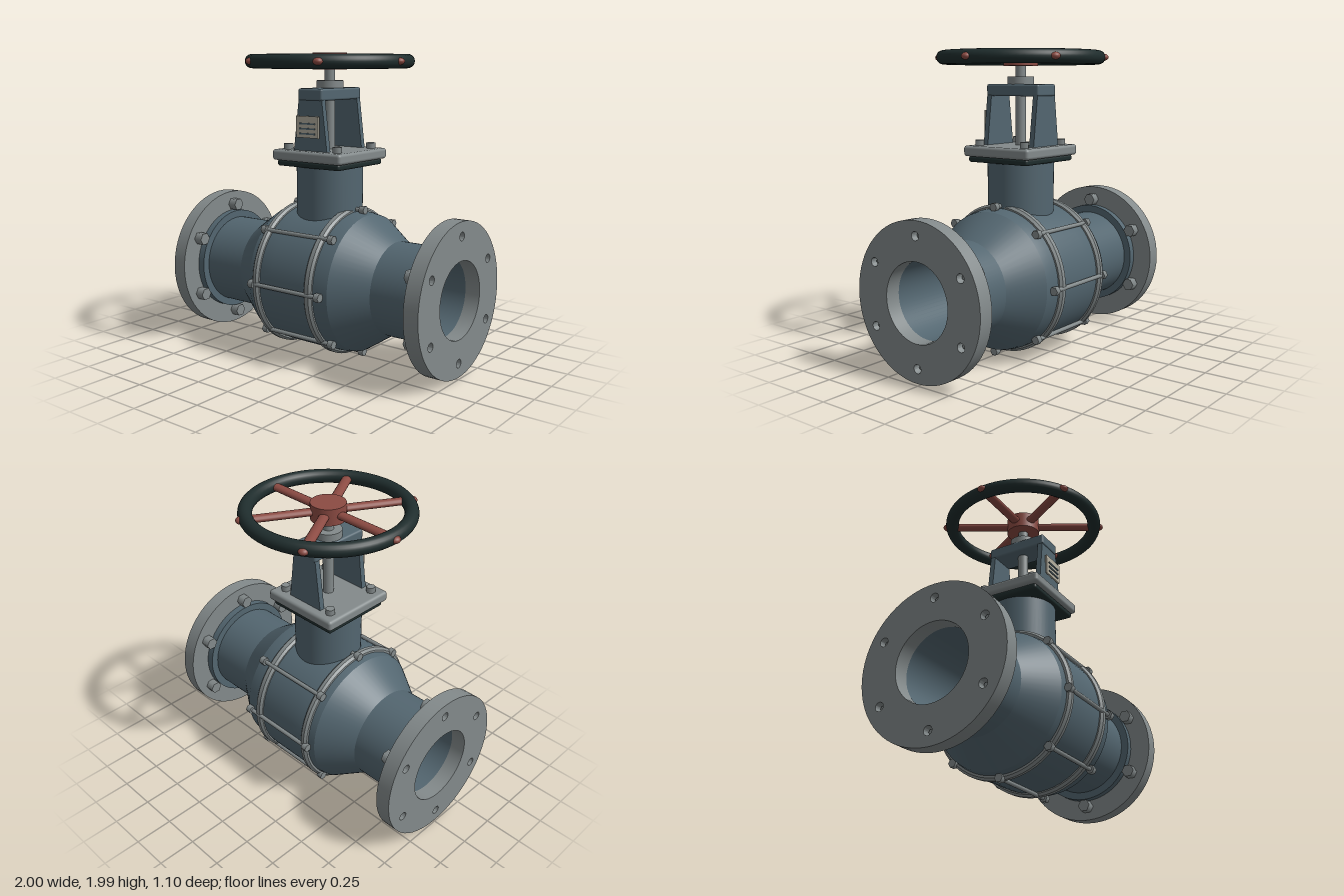
import * as THREE from 'three';
import { toCreasedNormals } from 'three/addons/utils/BufferGeometryUtils.js';
import { RoundedBoxGeometry } from 'three/addons/geometries/RoundedBoxGeometry.js';

const AXIS = 0.512; // height of the pipe axis

function mat(name, color) {
  const m = new THREE.MeshStandardMaterial({ color });
  m.name = name;
  return m;
}

export function createModel() {
  const body = mat('blue grey paint', 0x536670);
  const steel = mat('steel grey', 0x838a8b);
  const dark = mat('dark rubber', 0x1f2d2d);
  const red = mat('red paint', 0x8c4b43);
  const cream = mat('label cream', 0xb3ae9f);

  const valve = new THREE.Group();
  valve.name = 'gateValve';

  function add(name, geometry, material, x = 0, y = 0, z = 0, parent = valve) {
    const m = new THREE.Mesh(geometry, material);
    m.name = name;
    m.position.set(x, y, z);
    parent.add(m);
    return m;
  }
  const cyl = (r, h, seg = 40) => new THREE.CylinderGeometry(r, r, h, seg);
  const xCyl = (r, h, seg) => cyl(r, h, seg).rotateZ(-Math.PI / 2);
  // Turns [x, radius] pairs around the pipe axis
  const turned = (pairs) => toCreasedNormals(
    new THREE.LatheGeometry(pairs.map(([x, r]) => new THREE.Vector2(r, x)), 64).rotateZ(-Math.PI / 2), 0.3);

  // Hollow main body with swollen middle and open bore
  add('mainBody', turned([
    [-0.92, 0.25], [-0.92, 0.305], [-0.54, 0.305], [-0.32, 0.452], [-0.26, 0.463], [-0.12, 0.468],
    [0.12, 0.468], [0.26, 0.463], [0.32, 0.452], [0.54, 0.305], [0.92, 0.305], [0.92, 0.25], [-0.92, 0.25],
  ]), body, 0, AXIS);

  // End flange with bore and bolt holes
  const ring = new THREE.Shape().absarc(0, 0, 0.492, 0, Math.PI * 2, false);
  ring.holes.push(new THREE.Path().absarc(0, 0, 0.248, 0, Math.PI * 2, true));
  const flangeAngles = Array.from({ length: 6 }, (_, i) => Math.PI / 2 + i * Math.PI / 3);
  for (const a of flangeAngles) {
    const h = new THREE.Path();
    h.absarc(0.4 * Math.cos(a), 0.4 * Math.sin(a), 0.028, 0, Math.PI * 2, true);
    ring.holes.push(h);
  }
  const flangeGeo = toCreasedNormals(
    new THREE.ExtrudeGeometry(ring, { depth: 0.1, bevelEnabled: false, curveSegments: 32 })
      .rotateY(Math.PI / 2), 0.5);

  for (const s of [-1, 1]) {
    const side = s > 0 ? 'left' : 'right';
    add(side + 'Flange', flangeGeo, steel, s > 0 ? 0.9 : -1, AXIS);
    const a = s > 0 ? 0.85 : -0.905, b = a + 0.055;
    add(side + 'FlangeCollar', turned([[a, 0.3], [a, 0.355], [b, 0.355], [b, 0.3]]), body, 0, AXIS);
    for (const t of flangeAngles) {
      const y = AXIS + 0.4 * Math.sin(t), z = 0.4 * Math.cos(t);
      add(side + 'FlangeBolt', xCyl(0.044, 0.062, 6), steel, s * 0.868, y, z);
      add(side + 'FlangeBoltShank', xCyl(0.015, 0.08, 16), steel, s * 0.93, y, z);
    }
  }

  // Two chamfered straps around the body
  for (const [name, x0, x1] of [['rightStrap', -0.273, -0.22], ['leftStrap', 0.158, 0.218]]) {
    add(name, turned([
      [x0, 0.44], [x0, 0.475], [x0 + 0.015, 0.49], [x1 - 0.015, 0.49], [x1, 0.475], [x1, 0.44],
    ]), steel, 0, AXIS);
  }

  // Tie rods with hexagonal ends
  for (let i = 0; i < 8; i++) {
    const a = i * Math.PI / 4, y = AXIS + 0.48 * Math.sin(a), z = 0.48 * Math.cos(a);
    add('tieRod', xCyl(0.014, 0.5, 12), steel, 0, y, z);
    for (const s of [-1, 1]) add('tieRodNut', xCyl(0.029, 0.038, 6), steel, s * 0.273, y, z);
  }

  // Bonnet neck, gasket and cover plate
  add('neck', cyl(0.22, 0.43, 48), body, 0, 1.07, 0);
  add('gasket', new RoundedBoxGeometry(0.506, 0.04, 0.482, 3, 0.015), dark, 0, 1.288, 0);
  add('coverPlate', new RoundedBoxGeometry(0.555, 0.07, 0.53, 3, 0.02), steel, 0, 1.341, 0);
  for (const x of [-0.2, 0.2]) for (const z of [-0.185, 0.185]) {
    add('coverBolt', cyl(0.031, 0.05, 6), steel, x, 1.388, z);
  }

  // Yoke: two tapered legs and a bridge
  const leg = new THREE.Shape([[-0.137, 1.36], [0.137, 1.36], [0.092, 1.72], [-0.092, 1.72]]
    .map(([x, y]) => new THREE.Vector2(x, y)));
  const legGeo = new THREE.ExtrudeGeometry(leg, { depth: 0.036, bevelEnabled: false });
  add('frontYokeLeg', legGeo, body, 0, 0, 0.171);
  add('backYokeLeg', legGeo, body, 0, 0, -0.207);
  add('yokeBridge', new RoundedBoxGeometry(0.194, 0.077, 0.426, 3, 0.014), body, 0, 1.736, 0);
  add('bridgeCollar', cyl(0.088, 0.05), steel, 0, 1.797, 0);
  add('stem', cyl(0.035, 0.57, 24), steel, 0, 1.645, 0);

  // Rating plate with raised bars
  add('ratingPlate', new THREE.BoxGeometry(0.18, 0.138, 0.012), cream, 0, 1.532, 0.232);
  for (const y of [1.553, 1.521, 1.489]) {
    add('plateBar', new THREE.BoxGeometry(0.126, 0.01, 0.008), body, 0, y, 0.24);
  }

  // Handwheel
  const wheel = new THREE.Group();
  wheel.name = 'handwheel';
  wheel.position.y = 1.946;
  valve.add(wheel);
  add('wheelRim', new THREE.TorusGeometry(0.505, 0.045, 20, 72).rotateX(Math.PI / 2), dark, 0, 0, 0, wheel);
  add('wheelHub', cyl(0.112, 0.108), red, 0, 0, 0, wheel);
  const spokeGeo = new THREE.CapsuleGeometry(0.033, 0.47, 6, 16)
    .rotateZ(-Math.PI / 2).translate(0.302, 0, 0).scale(1, 0.7, 1);
  for (let i = 0; i < 6; i++) {
    add('wheelSpoke', spokeGeo, red, 0, 0, 0, wheel).rotation.y = i * Math.PI / 3;
  }
  return valve;
}
